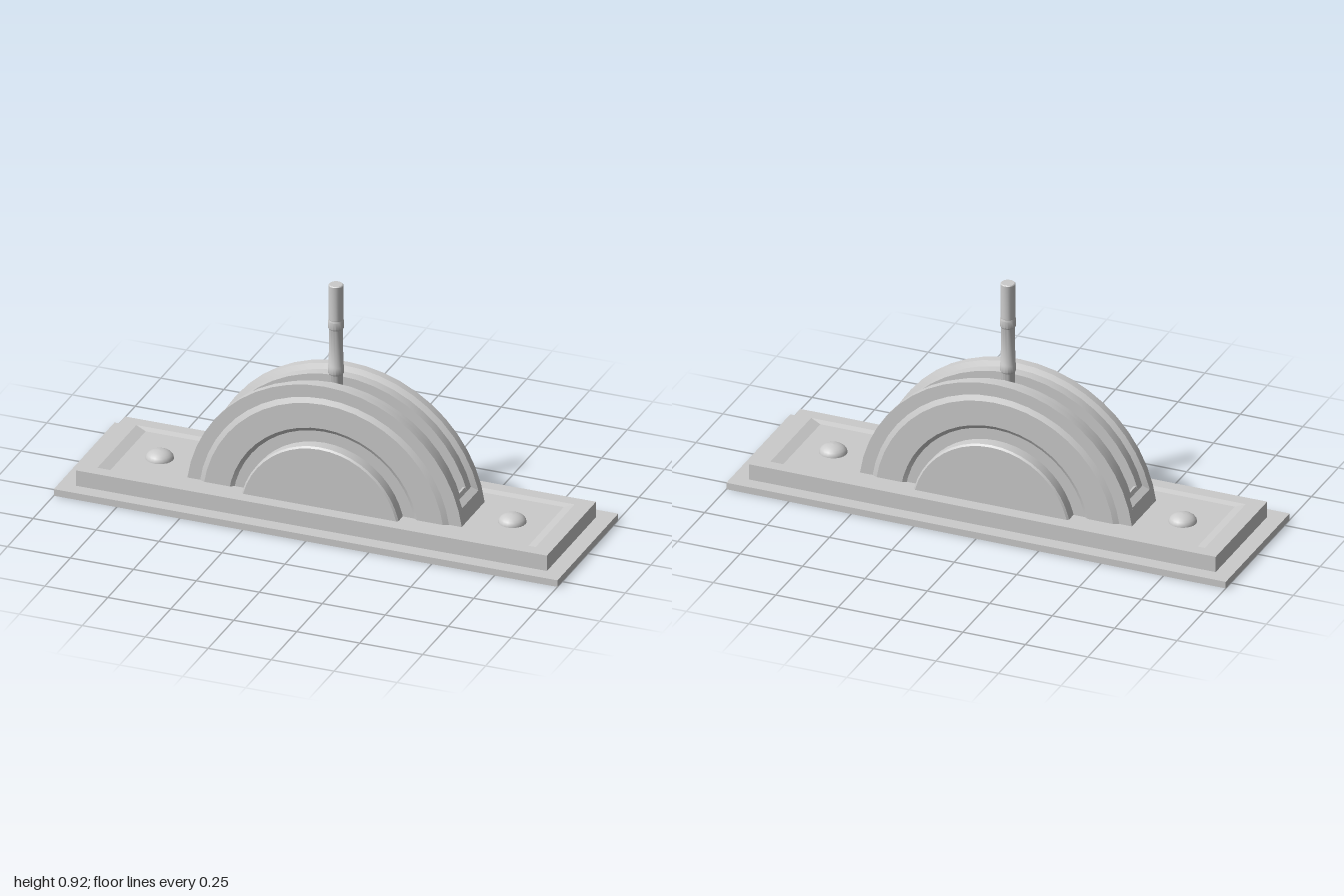
import * as THREE from 'three';
import { toCreasedNormals } from 'three/addons/utils/BufferGeometryUtils.js';

const material = new THREE.MeshStandardMaterial({ color: 0xcccccc, side: THREE.DoubleSide });

function add(parent, name, geometry) {
  const mesh = new THREE.Mesh(geometry, material);
  mesh.name = name;
  parent.add(mesh);
  return mesh;
}

function lathe(points, segments, start = 0, length = Math.PI * 2) {
  const profile = points.map(([r, y]) => new THREE.Vector2(r, y));
  return new THREE.LatheGeometry(profile, segments, start, length);
}

// Open-bottomed shell through stacked rectangles [half width, half depth, y], closed by the last one
function rectangularShell(levels) {
  const positions = [], index = [];
  for (const [hx, hz, y] of levels) {
    positions.push(hx, y, hz, hx, y, -hz, -hx, y, -hz, -hx, y, hz);
  }
  for (let k = 0; k < levels.length - 1; k++) {
    for (let i = 0; i < 4; i++) {
      const a = k * 4 + i, b = k * 4 + (i + 1) % 4;
      index.push(a, b, b + 4, a, b + 4, a + 4);
    }
  }
  const t = (levels.length - 1) * 4;
  index.push(t, t + 1, t + 2, t, t + 2, t + 3);
  const indexed = new THREE.BufferGeometry();
  indexed.setAttribute('position', new THREE.Float32BufferAttribute(positions, 3));
  indexed.setIndex(index);
  const geometry = indexed.toNonIndexed();
  geometry.computeVertexNormals();
  return geometry;
}

export function createModel() {
  const model = new THREE.Group();
  model.name = 'leverControl';

  // Flanged base with a shallow recessed top
  add(model, 'base', rectangularShell([
    [1, 0.297, 0], [1, 0.297, 0.027], [0.935, 0.24, 0.027],
    [0.935, 0.24, 0.09], [0.87, 0.19, 0.09], [0.83, 0.183, 0.075],
  ]));

  // Half-round housing cheeks, each with hub, face groove and stepped rim
  const cheek = lathe([
    [0, 0.03], [0.53, 0.03], [0.53, 0.07], [0.55, 0.08], [0.55, 0.112], [0.5, 0.112],
    [0.48, 0.122], [0.38, 0.122], [0.365, 0.112], [0.32, 0.112], [0.32, 0.154],
    [0.313, 0.16], [0, 0.16],
  ], 24, Math.PI / 2, Math.PI);
  cheek.rotateX(Math.PI / 2);
  const cheekGeometry = toCreasedNormals(cheek, 0.35);
  add(model, 'leftFacingFrontCheek', cheekGeometry).name = 'frontCheek';
  add(model, 'backCheek', cheekGeometry).rotation.y = Math.PI;

  // Blocks closing both ends of the slot
  const endShape = new THREE.Shape([
    [0.55, 0], [0.545, 0.072], [0.533, 0.135], [0.508, 0.15], [0.5, 0.165],
    [0.492, 0.165], [0.492, 0.06], [0.54, 0.06], [0.54, 0],
  ].map(([x, y]) => new THREE.Vector2(x, y)));
  const endGeometry = new THREE.ExtrudeGeometry(endShape, { depth: 0.16, bevelEnabled: false });
  endGeometry.translate(0, 0, -0.08);
  add(model, 'leftEndBlock', endGeometry);
  add(model, 'rightEndBlock', endGeometry).rotation.y = Math.PI;

  // Lever rod with two collars
  const rod = [[0, 0], [0.026, 0]];
  for (const y of [0.555, 0.74]) {
    rod.push([0.026, y - 0.002], [0.03, y + 0.004], [0.03, y + 0.031], [0.027, y + 0.037]);
  }
  rod.push([0.028, 0.78], [0.028, 0.917], [0.025, 0.92], [0, 0.92]);
  add(model, 'lever', toCreasedNormals(lathe(rod, 16), 0.6));

  // Domed bolts
  const dome = [[0.053, 0.065]];
  for (let i = 0; i <= 6; i++) {
    const a = i / 6 * Math.PI / 2;
    dome.push([0.053 * Math.cos(a), 0.075 + 0.033 * Math.sin(a)]);
  }
  const boltGeometry = lathe(dome, 20);
  for (const side of [1, -1]) {
    add(model, side > 0 ? 'leftBolt' : 'rightBolt', boltGeometry).position.x = side * 0.7;
  }

  return model;
}
